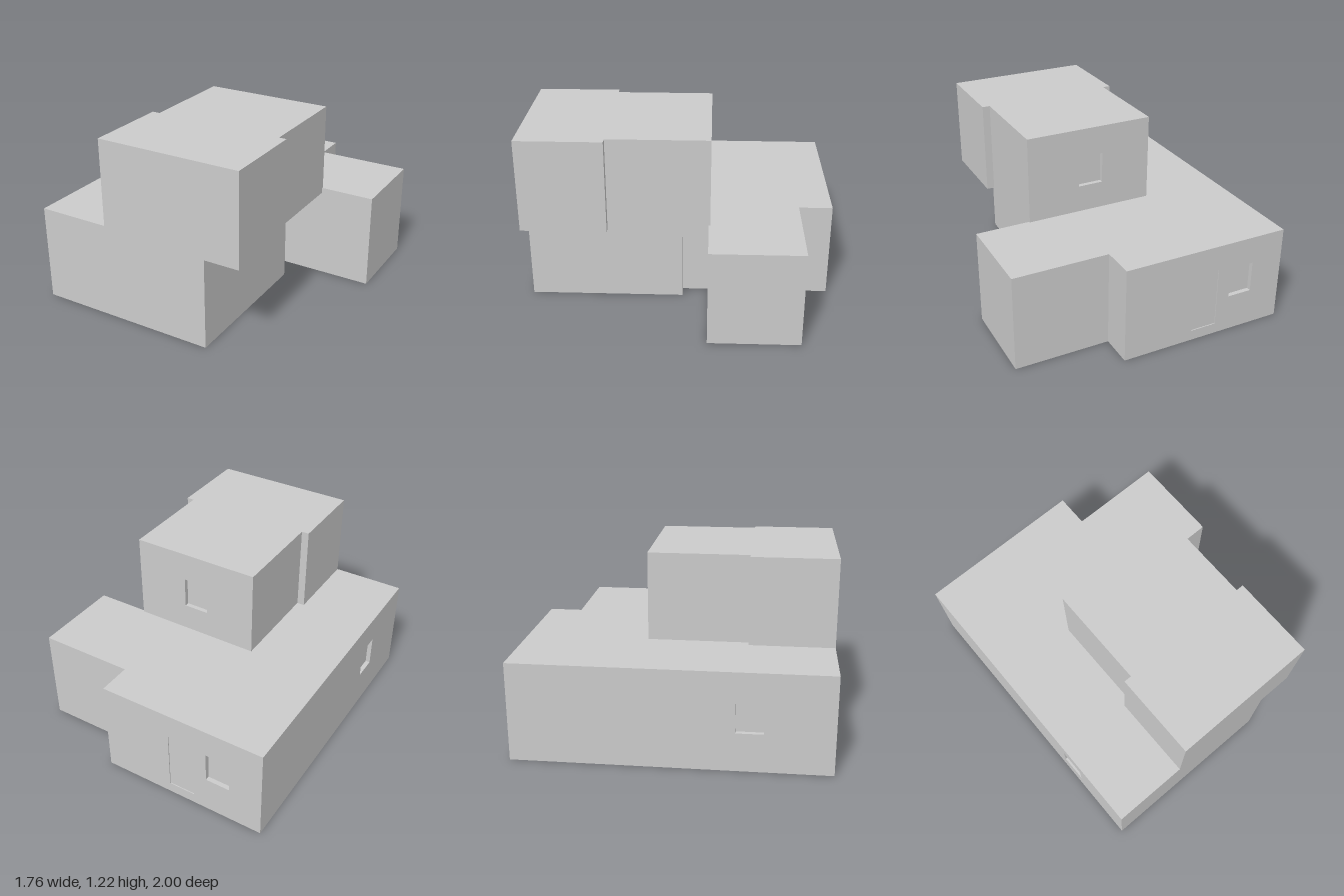
import * as THREE from 'three';

const material = new THREE.MeshStandardMaterial({ color: 0xcccccc, flatShading: true });
const REVEAL = 0.03; // depth of the window recesses

// Vertical prism over a footprint of [x, z] corners
function prism(name, footprint, y0, y1) {
  const shape = new THREE.Shape(footprint.map(([x, z]) => new THREE.Vector2(x, -z)));
  const geometry = new THREE.ExtrudeGeometry(shape, { depth: y1 - y0, bevelEnabled: false });
  geometry.rotateX(-Math.PI / 2).translate(0, y0, 0);
  const mesh = new THREE.Mesh(geometry, material);
  mesh.name = name;
  return mesh;
}

function rectangle(Type, [u0, u1, v0, v1]) {
  return new Type([[u0, v0], [u1, v0], [u1, v1], [u0, v1]].map(p => new THREE.Vector2(...p)));
}

// Outer wall layer, pierced by rectangular openings [u0, u1, v0, v1]
function wall(name, outline, openings) {
  const shape = rectangle(THREE.Shape, outline);
  shape.holes = openings.map(o => rectangle(THREE.Path, o));
  const geometry = new THREE.ExtrudeGeometry(shape, { depth: REVEAL, bevelEnabled: false });
  const mesh = new THREE.Mesh(geometry, material);
  mesh.name = name;
  return mesh;
}

export function createModel() {
  const house = new THREE.Group();
  house.name = 'house';
  const west = -0.88, back = -1, roof = 0.64;

  // Ground floor with side wing and the small recess in front of it
  house.add(prism('groundFloor', [
    [west + REVEAL, 1], [0.335, 1], [0.335, -0.02], [0.25, -0.02], [0.25, -0.19], [0.88, -0.19],
    [0.88, -0.78], [0.25, -0.78], [0.25, back + REVEAL], [west + REVEAL, back + REVEAL],
  ], 0, roof));

  // Back wall with door and window openings
  const door = [-0.405, -0.225, 0.07, 0.47];
  const backWall = wall('groundBackWall', [west, 0.25, 0, roof], [door, [-0.66, -0.495, 0.25, 0.455]]);
  backWall.position.z = back;
  house.add(backWall);

  // Door leaf, set just behind the wall face
  const inset = 0.006;
  const leaf = new THREE.Mesh(
    new THREE.BoxGeometry(door[1] - door[0], door[3] - door[2], REVEAL - inset), material);
  leaf.name = 'door';
  leaf.position.set((door[0] + door[1]) / 2, (door[2] + door[3]) / 2, back + (REVEAL + inset) / 2);
  house.add(leaf);

  // Side wall with one window, drawn along -z and turned to face -x
  const sideWall = wall('groundSideWall', [-1, 1 - REVEAL, 0, roof], [[-0.57, -0.4, 0.25, 0.455]]);
  sideWall.rotation.y = Math.PI / 2;
  sideWall.position.x = west;
  house.add(sideWall);

  // Upper floor, wider at the front and overhanging the ground floor
  const upperBack = -0.2, upperBase = 0.605, upperTop = 1.215;
  house.add(prism('upperFloor', [
    [-0.39, 1], [0.57, 1], [0.57, 0.45], [0.52, 0.45], [0.52, upperBack + REVEAL],
    [-0.34, upperBack + REVEAL], [-0.34, 0.45], [-0.39, 0.45],
  ], upperBase, upperTop));

  const upperWall = wall('upperBackWall', [-0.34, 0.52, upperBase, upperTop], [[0, 0.167, 0.82, 1.025]]);
  upperWall.position.z = upperBack;
  house.add(upperWall);

  return house;
}
